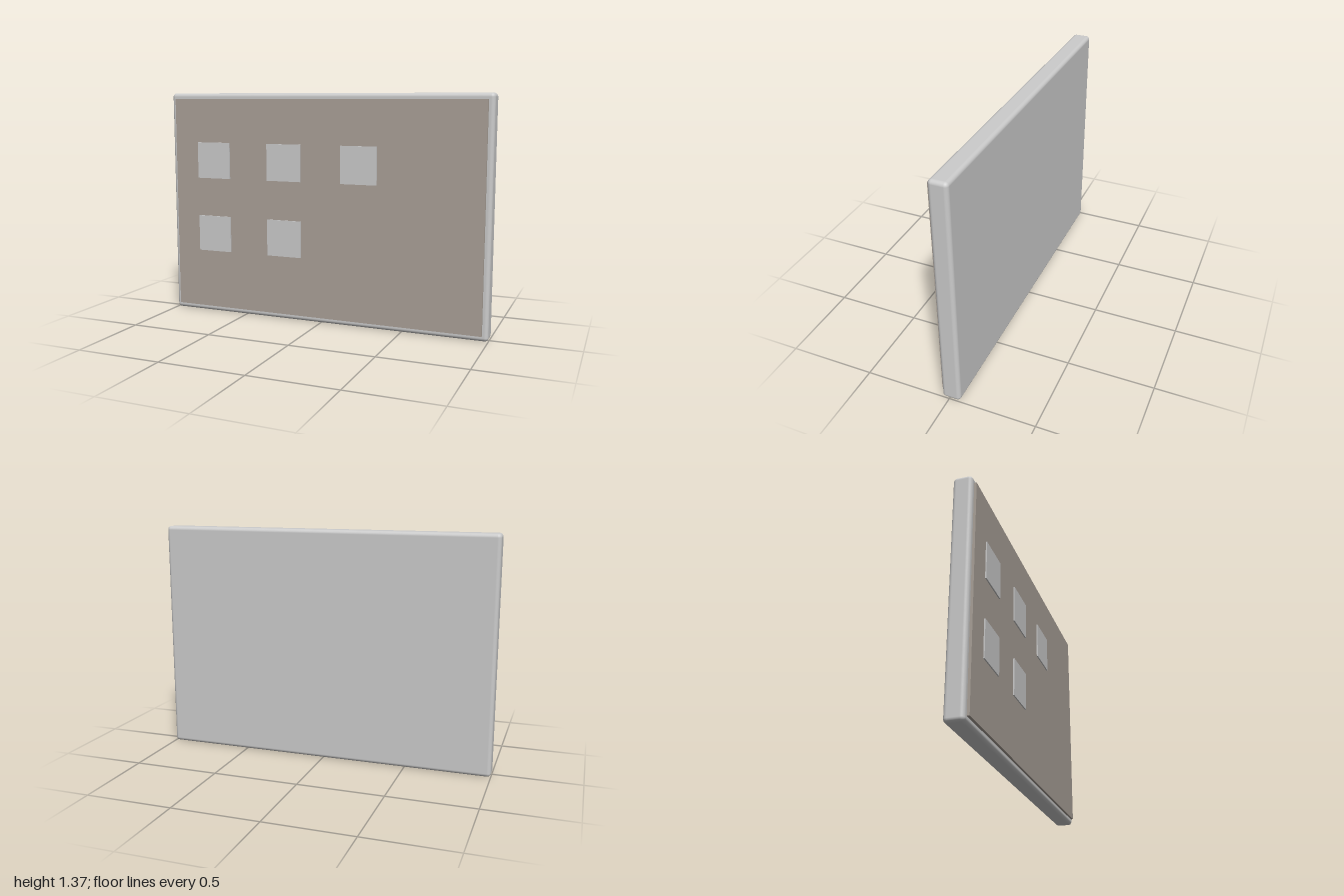
import * as THREE from 'three';
import { RoundedBoxGeometry } from 'three/addons/geometries/RoundedBoxGeometry.js';

const HEIGHT = 1.365;

export function createModel() {
  const board = new THREE.Group();
  board.name = 'noticeBoard';
  const grey = new THREE.MeshStandardMaterial({ color: 0xcccccc });
  const cork = new THREE.MeshStandardMaterial({ color: 0xaaa198 });

  const add = (name, geometry, material, x, y, z) => {
    const mesh = new THREE.Mesh(geometry, material);
    mesh.name = name;
    mesh.position.set(x, y, z);
    board.add(mesh);
  };

  // Rounded backing slab that shows as a rim around the panel
  add('frame', new RoundedBoxGeometry(2, HEIGHT, 0.107, 4, 0.022), grey, 0, HEIGHT / 2, -0.0105);

  // Thin pinning panel on the front
  add('panel', new THREE.BoxGeometry(1.934, 1.298, 0.024), cork, 0, HEIGHT / 2, 0.045);

  // Square notes on a grid: three in the top row, two below
  const noteGeometry = new THREE.BoxGeometry(0.22, 0.22, 0.01);
  [3, 2].forEach((count, row) => {
    for (let i = 0; i < count; i++) {
      add(`note${row + 1}_${i + 1}`, noteGeometry, grey, -0.7 + i * 0.471, 0.956 - row * 0.455, 0.059);
    }
  });

  return board;
}
